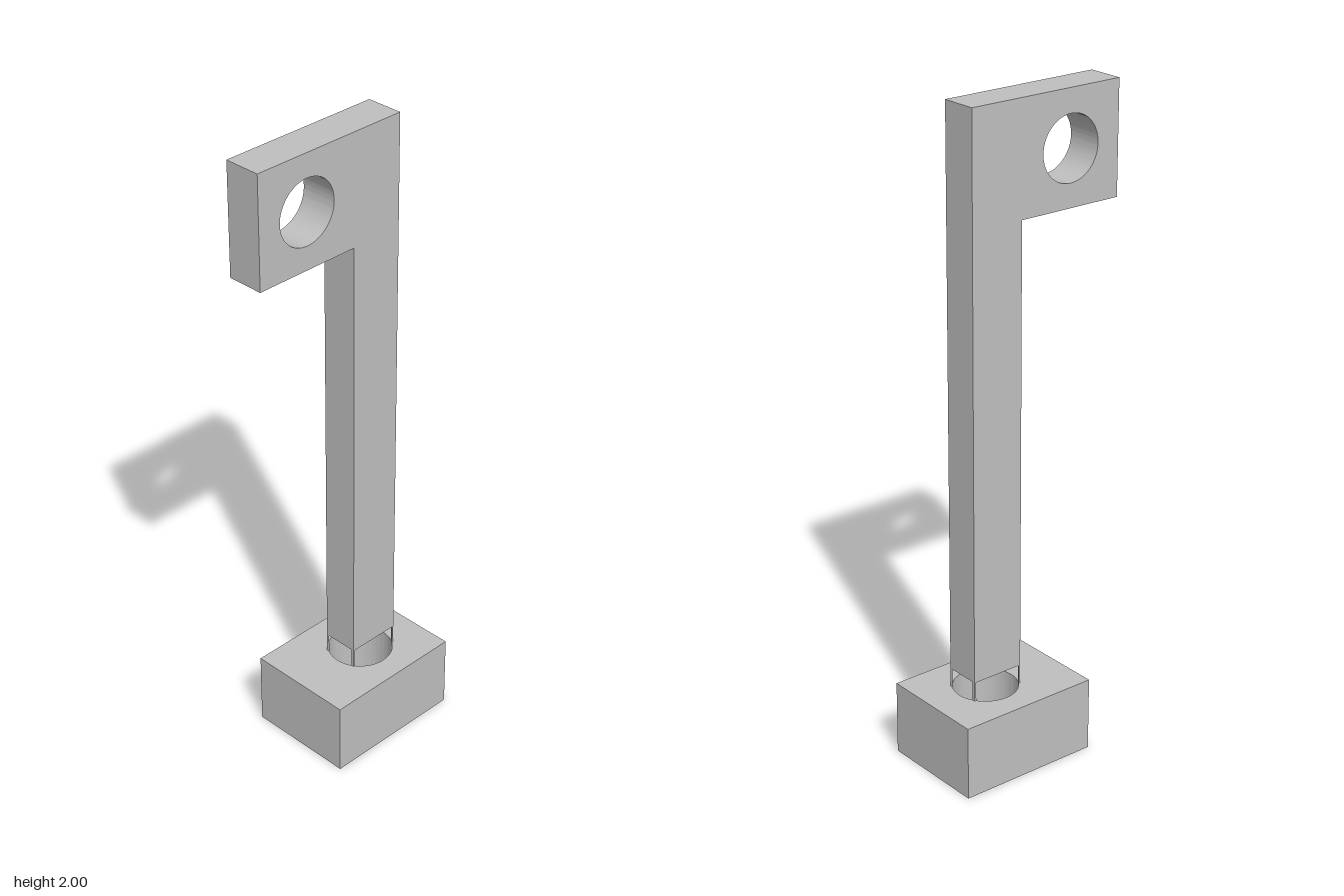
import * as THREE from 'three';
import { toCreasedNormals } from 'three/addons/utils/BufferGeometryUtils.js';

const R = 0.098;                       // radius of both bores
const HALF_W = 0.057, HALF_D = 0.0857; // half width and half depth of the post
const BASE_TOP = 0.23, POST_BOTTOM = 0.29;

function polygon(points) {
  return new THREE.Shape(points.map(([x, y]) => new THREE.Vector2(x, y)));
}

function addHole(shape, x, y) {
  const hole = new THREE.Path();
  hole.absarc(x, y, R, 0, Math.PI * 2, true);
  shape.holes.push(hole);
}

function extrude(shape, depth) {
  const geometry = new THREE.ExtrudeGeometry(shape, { depth, bevelEnabled: false, curveSegments: 48 });
  return toCreasedNormals(geometry, 0.5);
}

// Extrudes a plan outline (x, z) between two heights
function extrudeUp(shape, bottom, top) {
  return extrude(shape, top - bottom).rotateX(Math.PI / 2).translate(0, top, 0);
}

export function createModel() {
  const grey = new THREE.MeshStandardMaterial({ color: 0xbfbfbf });
  grey.name = 'grey';
  const model = new THREE.Group();
  model.name = 'bracket';

  // Everything is set out around the vertical bore, then turned 30 degrees
  const body = new THREE.Group();
  body.name = 'body';
  body.position.set(0.0135, 0, -0.072);
  body.rotation.y = -Math.PI / 6;
  model.add(body);

  const add = (name, geometry) => {
    const mesh = new THREE.Mesh(geometry, grey);
    mesh.name = name;
    body.add(mesh);
  };

  // Base block with vertical bore
  const base = polygon([[-0.171, -0.2], [0.171, -0.2], [0.171, 0.257], [-0.171, 0.257]]);
  addHole(base, 0, 0);
  add('base', extrudeUp(base, 0, BASE_TOP));

  // Post and overhanging head in one side profile, with cross bore
  const arm = polygon([
    [-HALF_D, POST_BOTTOM], [HALF_D, POST_BOTTOM], [HALF_D, 1.66],
    [0.4293, 1.66], [0.4293, 2], [-HALF_D, 2],
  ]);
  addHole(arm, 0.2575, 1.83);
  add('postAndHead', extrude(arm, 2 * HALF_W).translate(0, 0, -HALF_W).rotateY(-Math.PI / 2));

  // Thin corner slivers left where the bore cuts into the foot of the post
  const a0 = Math.acos(HALF_W / R), a1 = Math.asin(HALF_D / R);
  for (const sx of [-1, 1]) {
    for (const sz of [-1, 1]) {
      const points = [[sx * HALF_W, sz * HALF_D]];
      for (let i = 0; i <= 4; i++) {
        const a = a0 + (a1 - a0) * i / 4;
        points.push([sx * R * Math.cos(a), sz * R * Math.sin(a)]);
      }
      add('cornerSliver', extrudeUp(polygon(points), BASE_TOP, POST_BOTTOM));
    }
  }
  return model;
}
